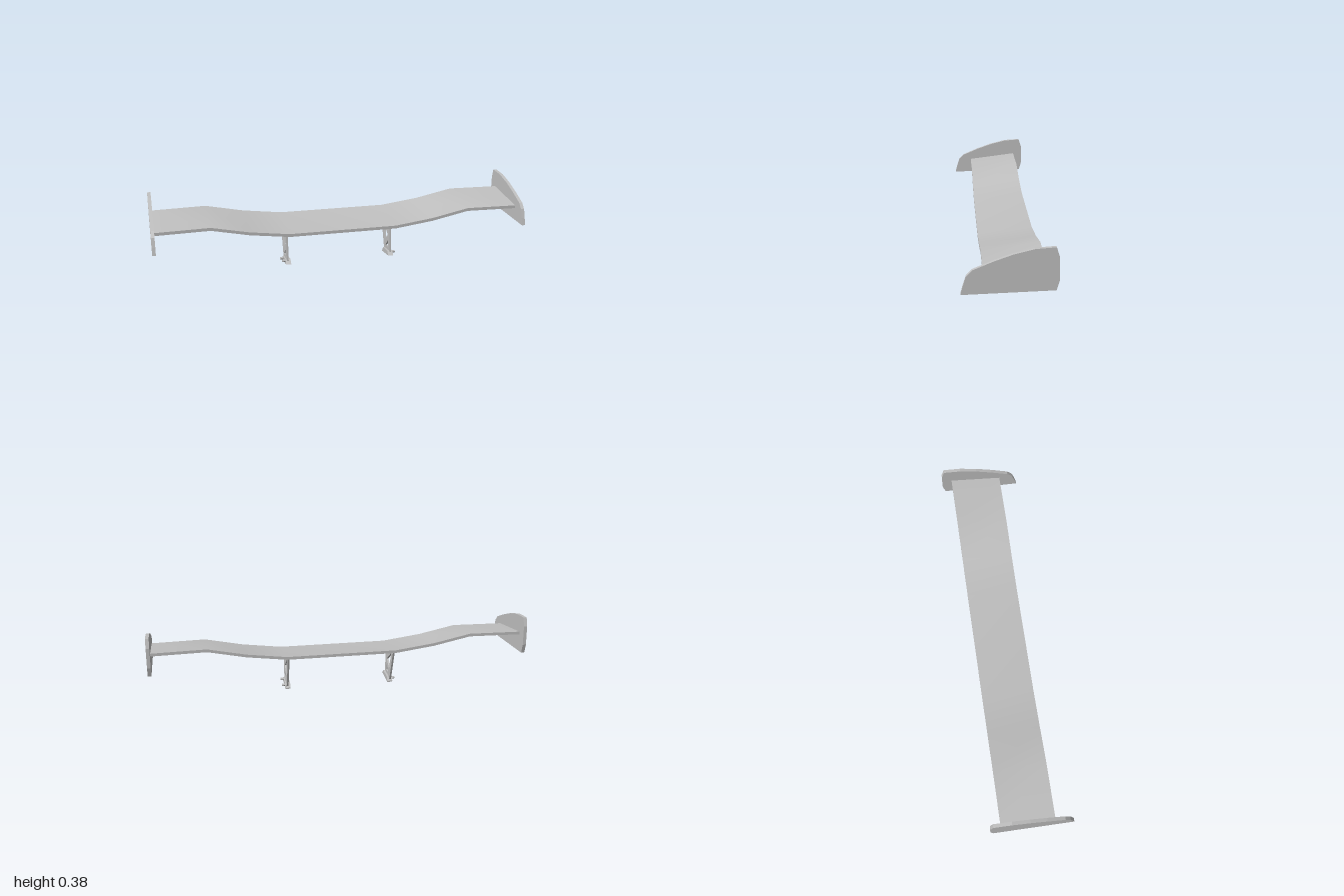
import * as THREE from 'three';

const grey = new THREE.MeshStandardMaterial({ color: 0xc0c0c0 });
grey.name = 'light grey';

// Side profile given as [z, y] points, extruded along x from x0 to x1
function sidePlate(name, points, x0, x1, holes = []) {
  const toVectors = (list) => list.map(([z, y]) => new THREE.Vector2(-z, y));
  const shape = new THREE.Shape(toVectors(points));
  for (const hole of holes) shape.holes.push(new THREE.Path(toVectors(hole)));
  const geometry = new THREE.ExtrudeGeometry(shape, { depth: x1 - x0, bevelEnabled: false });
  geometry.rotateY(Math.PI / 2).translate(x0, 0, 0);
  const mesh = new THREE.Mesh(geometry, grey);
  mesh.name = name;
  return mesh;
}

// Wing blade: a thin tilted section swept along x, smooth along the span
function wing() {
  const stations = [[-0.985, 0.063], [-0.7, 0.068], [-0.5, 0.027], [-0.29, 0],
    [0.29, 0], [0.5, 0.027], [0.7, 0.068], [0.985, 0.063]];
  const section = [[0.116, 0.196], [-0.16, 0.23], [-0.16, 0.215], [0.116, 0.18]];
  const group = new THREE.Group();
  group.name = 'wing';
  ['wingTop', 'wingTrailingEdge', 'wingUnderside', 'wingLeadingEdge'].forEach((name, k) => {
    const positions = [], index = [];
    stations.forEach(([x, lift], i) => {
      for (const [z, y] of [section[k], section[(k + 1) % 4]]) positions.push(x, y + lift, z);
      const a = 2 * i;
      if (i < stations.length - 1) index.push(a, a + 2, a + 1, a + 1, a + 2, a + 3);
    });
    const geometry = new THREE.BufferGeometry();
    geometry.setAttribute('position', new THREE.Float32BufferAttribute(positions, 3));
    geometry.setIndex(index);
    geometry.computeVertexNormals();
    const mesh = new THREE.Mesh(geometry, grey);
    mesh.name = name;
    group.add(mesh);
  });
  return group;
}

// Strut with triangular cut-outs, foot block and two hex bolts
function support(side) {
  const group = new THREE.Group();
  group.name = side > 0 ? 'leftSupport' : 'rightSupport';
  group.position.x = -0.011;
  const span = (a, b) => (side > 0 ? [a, b] : [-b, -a]);
  group.add(sidePlate('strut',
    [[0.075, 0.02], [-0.022, 0.012], [-0.034, 0.035], [-0.1, 0.211], [0.059, 0.191]],
    ...span(0.281, 0.291),
    [
      [[0.032, 0.148], [0.029, 0.189], [-0.03, 0.187]],
      [[0.036, 0.117], [-0.055, 0.179], [-0.017, 0.075]],
      [[0.039, 0.085], [0.042, 0.052], [-0.005, 0.046]],
    ]));
  group.add(sidePlate('foot',
    [[0.09, 0.016], [-0.029, 0.002], [-0.029, 0.008], [-0.013, 0.029], [0.067, 0.037]],
    ...span(0.27, 0.298)));
  for (const [z, y] of [[0.06, 0.028], [-0.006, 0.018]]) {
    const head = new THREE.CylinderGeometry(0.007, 0.007, 0.016, 6);
    head.rotateZ(Math.PI / 2);
    const bolt = new THREE.Mesh(head.toNonIndexed(), grey);
    bolt.geometry.computeVertexNormals();
    bolt.name = 'bolt';
    bolt.position.set(side * 0.306, y, z);
    group.add(bolt);
  }
  return group;
}

export function createModel() {
  const model = new THREE.Group();
  model.name = 'rearWing';
  model.add(wing());

  const endPlate = [[0.215, 0.174], [0.205, 0.212], [0.19, 0.259], [0.163, 0.287], [0.07, 0.326],
    [-0.015, 0.356], [-0.105, 0.378], [-0.197, 0.384], [-0.212, 0.337], [-0.214, 0.235], [-0.2, 0.186]];
  model.add(sidePlate('leftEndPlate', endPlate, 0.982, 1));
  model.add(sidePlate('rightEndPlate', endPlate, -1, -0.982));

  for (const side of [1, -1]) model.add(support(side));
  return model;
}
